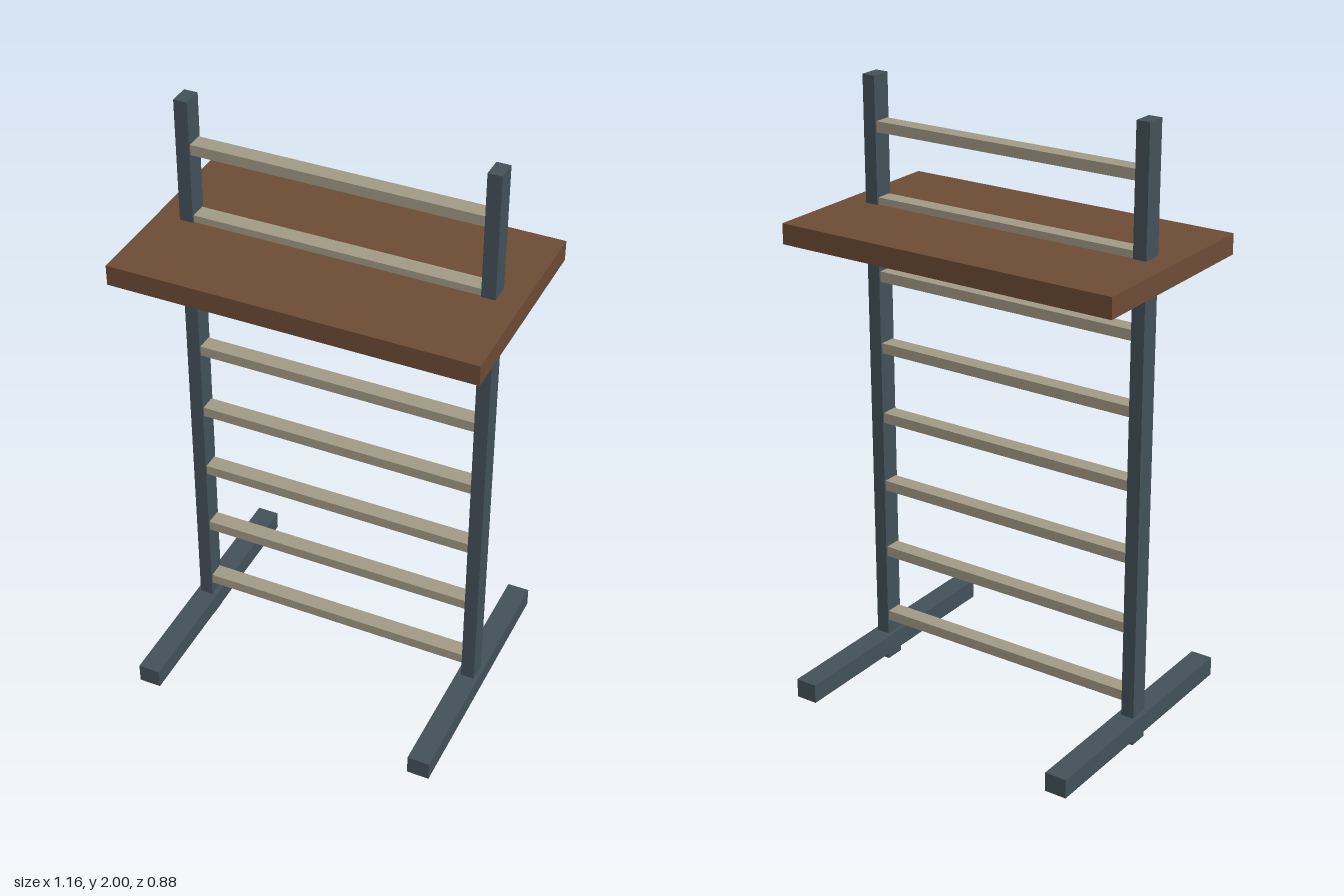
import * as THREE from 'three';

export function createModel() {
  const model = new THREE.Group();
  const material = (color) => new THREE.MeshStandardMaterial({ color });
  const steel = material(0x44525a);
  const paleWood = material(0xa39b86);
  const darkWood = material(0x6e4c35);

  function addBox(name, size, position, mat) {
    const mesh = new THREE.Mesh(new THREE.BoxGeometry(...size), mat);
    mesh.name = name;
    mesh.position.set(...position);
    model.add(mesh);
  }

  // Uprights, each crossed by a long foot near the floor
  for (const [side, s] of [['left', 1], ['right', -1]]) {
    addBox(side + 'Post', [0.044, 2, 0.066], [s * 0.481, 1, 0], steel);
    addBox(side + 'Foot', [0.073, 0.064, 0.88], [s * 0.48, 0.064, 0], steel);
  }

  // Evenly spaced rungs between the uprights
  for (let i = 0; i < 8; i++) {
    addBox('rung' + (i + 1), [0.922, 0.034, 0.054], [0, 0.162 + i * 0.24, 0], paleWood);
  }

  // Wide board resting through the uprights
  addBox('tableTop', [1.16, 0.066, 0.68], [0, 1.563, 0], darkWood);

  return model;
}
